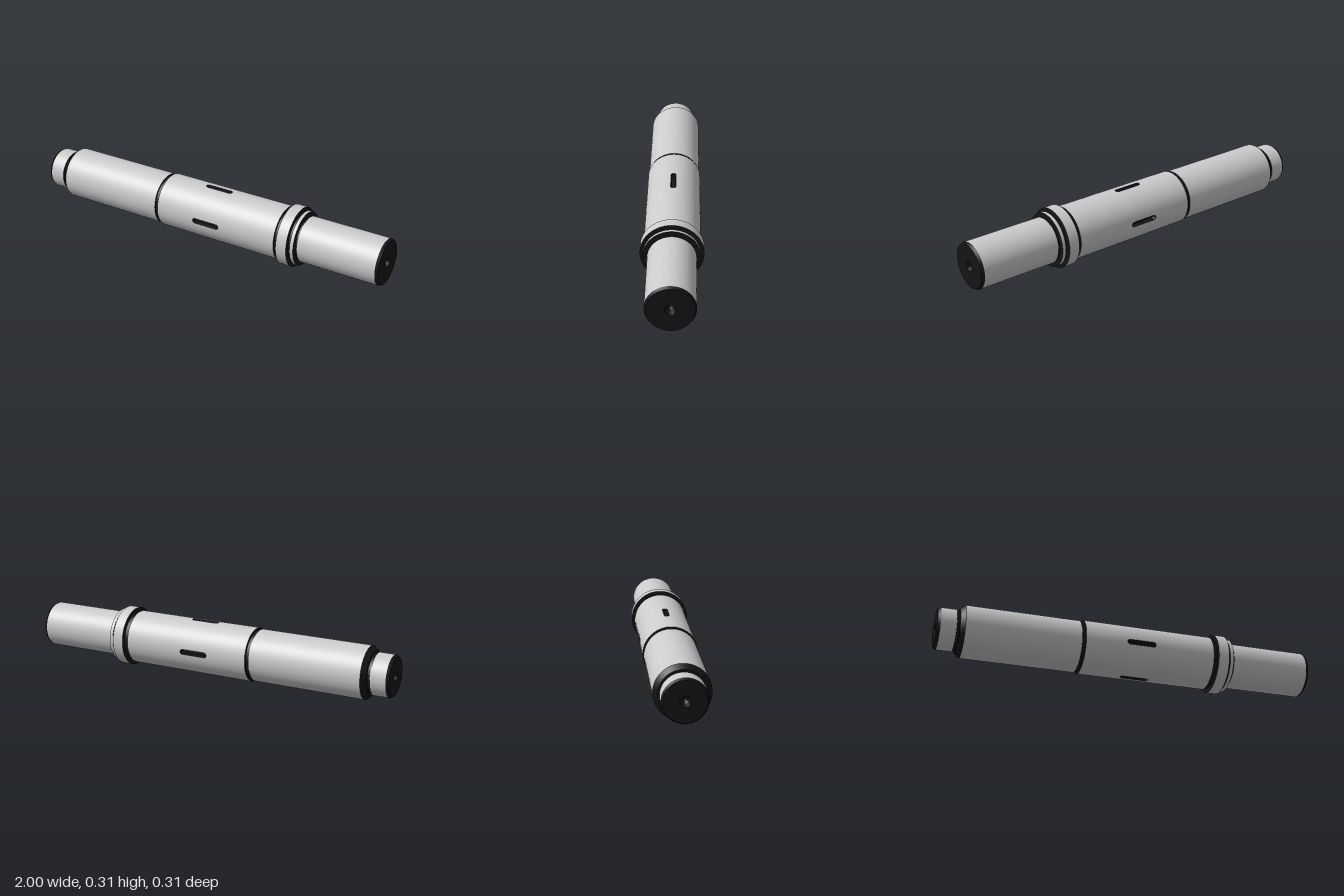
import * as THREE from 'three';
import { mergeGeometries } from 'three/addons/utils/BufferGeometryUtils.js';

const SEGMENTS = 96;
const AXIS_HEIGHT = 0.157;
const SLEEVE_R = 0.141;
const PATCH = { x0: -0.06, x1: 0.155 };               // sleeve zone that holds the slots
const SLOT = { x0: -0.017, x1: 0.11, r: 0.0135, depth: 0.025 };

const grey = new THREE.MeshStandardMaterial({ color: 0xcccccc });
const dark = new THREE.MeshStandardMaterial({ color: 0x151515 });

// Turned surface along x; every profile segment keeps its own sharp edges
function turned(name, profile, material) {
  const pieces = [];
  for (let i = 0; i + 1 < profile.length; i++) {
    const pts = [profile[i], profile[i + 1]].map(([x, r]) => new THREE.Vector2(r, x));
    pieces.push(new THREE.LatheGeometry(pts, SEGMENTS));
  }
  const geometry = mergeGeometries(pieces);
  geometry.rotateZ(-Math.PI / 2);
  const mesh = new THREE.Mesh(geometry, material);
  mesh.name = name;
  return mesh;
}

// Closed rings of [x, angle, radius] joined into a surface wrapped round the axis
function loft(name, rings, material, radialNormals) {
  const n = rings[0].length, pos = [], nor = [], index = [];
  for (const ring of rings) for (const [x, a, r] of ring) {
    pos.push(x, r * Math.cos(a), -r * Math.sin(a));
    nor.push(0, Math.cos(a), -Math.sin(a));
  }
  for (let i = 0; i + 1 < rings.length; i++) for (let k = 0; k < n; k++) {
    const a = i * n + k, d = i * n + (k + 1) % n, b = a + n, c = d + n;
    index.push(a, b, c, a, c, d);
  }
  const geometry = new THREE.BufferGeometry();
  geometry.setAttribute('position', new THREE.Float32BufferAttribute(pos, 3));
  geometry.setIndex(index);
  if (radialNormals) geometry.setAttribute('normal', new THREE.Float32BufferAttribute(nor, 3));
  else geometry.computeVertexNormals();
  const mesh = new THREE.Mesh(geometry, material);
  mesh.name = name;
  return mesh;
}

// Quarter of the sleeve with a recessed round-ended slot in its middle
function slotQuarter() {
  const border = [], q = Math.PI / 4, across = SEGMENTS / 4, along = 20;
  const span = PATCH.x1 - PATCH.x0;
  for (let i = 0; i < across; i++) border.push([PATCH.x1, -q + 2 * q * i / across]);
  for (let i = 0; i < along; i++) border.push([PATCH.x1 - span * i / along, q]);
  for (let i = 0; i < across; i++) border.push([PATCH.x0, q - 2 * q * i / across]);
  for (let i = 0; i < along; i++) border.push([PATCH.x0 + span * i / along, -q]);

  // Nearest slot-outline point for every border point
  const spine = border.map(([x]) => [THREE.MathUtils.clamp(x, SLOT.x0, SLOT.x1), 0]);
  const outline = border.map(([x, a], k) => {
    const dx = x - spine[k][0], ds = a * SLEEVE_R, len = Math.hypot(dx, ds);
    return [spine[k][0] + dx / len * SLOT.r, ds / len * SLOT.r / SLEEVE_R];
  });
  const at = (pts, r) => pts.map(([x, a]) => [x, a, r]);
  const steps = 12, skin = [];
  for (let i = 0; i <= steps; i++) {
    const t = i / steps;
    skin.push(outline.map(([x, a], k) => [
      x + (border[k][0] - x) * t, a + (border[k][1] - a) * t, SLEEVE_R]));
  }
  const floorR = SLEEVE_R - SLOT.depth;
  const group = new THREE.Group();
  group.name = 'slottedQuarter';
  group.add(
    loft('sleeveSkin', skin, grey, true),
    loft('slotWall', [at(outline, floorR), at(outline, SLEEVE_R)], dark, false),
    loft('slotFloor', [at(spine, floorR), at(outline, floorR)], dark, true));
  return group;
}

export function createModel() {
  const shaft = new THREE.Group();
  shaft.name = 'shaft';

  // Cylindrical lands: name, start, end, radius
  const lands = [
    ['endJournal', -0.985, -0.905, 0.108],
    ['mainBody', -0.865, -0.27, 0.136],
    ['sleeveInner', -0.25, PATCH.x0, SLEEVE_R],
    ['sleeveOuter', PATCH.x1, 0.445, SLEEVE_R],
    ['collar', 0.467, 0.525, 0.157],
    ['collarRing', 0.537, 0.556, 0.141],
    ['driveJournal', 0.567, 0.985, 0.12],
  ];
  for (const [name, a, b, r] of lands) shaft.add(turned(name, [[a, r], [b, r]], grey));

  // Dark end faces with centre holes, chamfers, shoulders and grooves
  const details = {
    leftEndFace: [[-0.96, 0], [-0.975, 0.018], [-1, 0.026], [-1, 0.1], [-0.985, 0.108]],
    bodyShoulder: [[-0.905, 0.108], [-0.903, 0.102], [-0.89, 0.102], [-0.89, 0.115], [-0.865, 0.136]],
    bodyGroove: [[-0.27, 0.136], [-0.268, 0.131], [-0.252, 0.131], [-0.25, SLEEVE_R]],
    collarGroove: [[0.445, SLEEVE_R], [0.447, 0.133], [0.467, 0.133], [0.467, 0.157]],
    ringGroove: [[0.525, 0.157], [0.525, 0.132], [0.537, 0.132], [0.537, 0.141]],
    journalGroove: [[0.556, 0.141], [0.556, 0.115], [0.567, 0.115], [0.567, 0.12]],
    rightEndFace: [[0.985, 0.12], [1, 0.113], [1, 0.027], [0.975, 0.02], [0.96, 0]],
  };
  for (const [name, profile] of Object.entries(details)) shaft.add(turned(name, profile, dark));

  // Four slots round the sleeve
  for (let i = 0; i < 4; i++) {
    const quarter = slotQuarter();
    quarter.rotation.x = i * Math.PI / 2;
    shaft.add(quarter);
  }

  shaft.position.y = AXIS_HEIGHT;
  const model = new THREE.Group();
  model.name = 'steppedShaft';
  model.add(shaft);
  return model;
}
